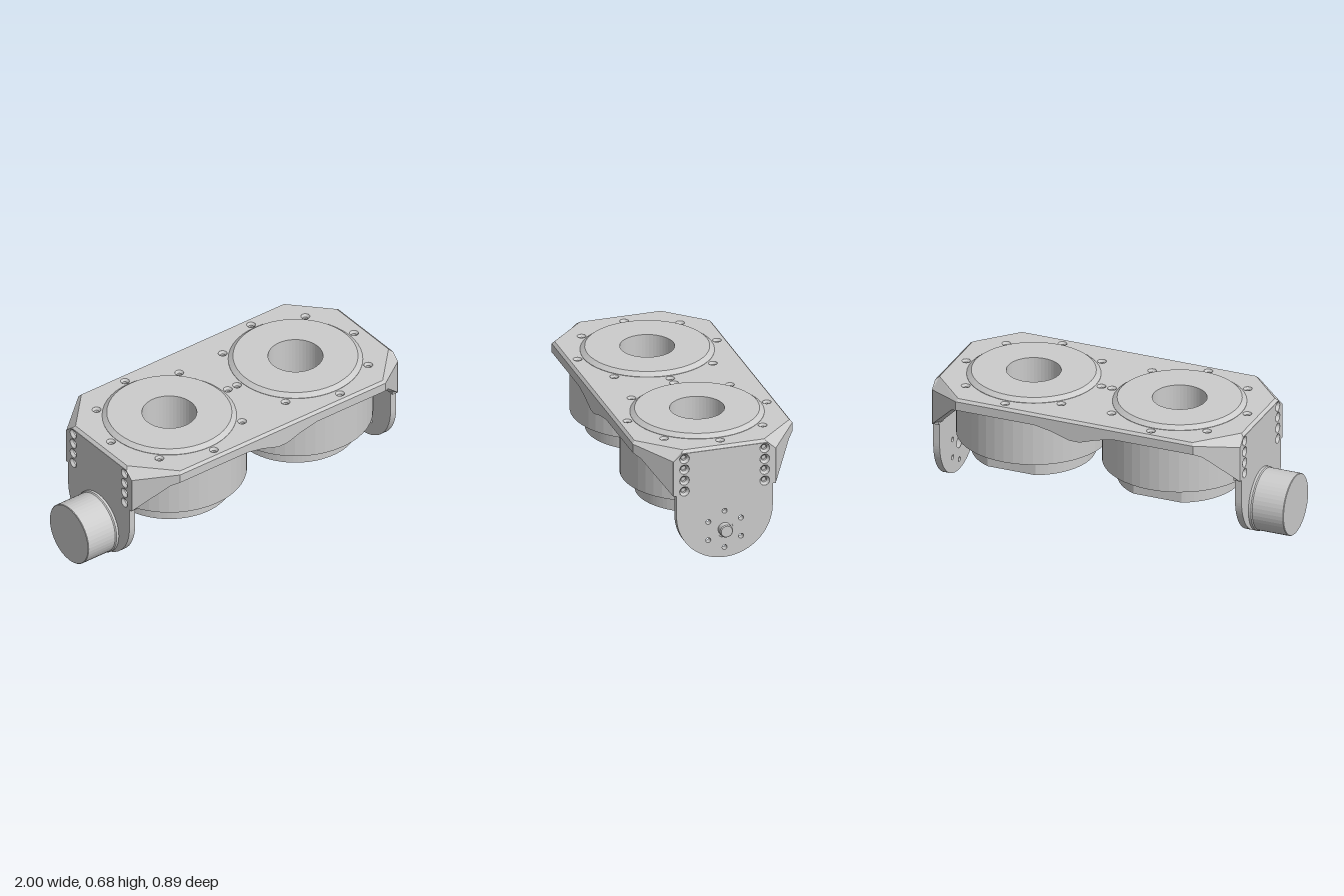
import * as THREE from 'three';

const steel = new THREE.MeshStandardMaterial({ color: 0xcccccc, flatShading: true, side: THREE.DoubleSide });
const MID = 0.08;              // x centre of the bracket
const MOTORS = [-0.335, 0.5];  // x of the two large motors
const AXIS_Y = 0.174;          // height of the tilt axis

function add(parent, name, geometry, x = 0, y = 0, z = 0) {
  const mesh = new THREE.Mesh(geometry, steel);
  mesh.name = name;
  mesh.position.set(x, y, z);
  parent.add(mesh);
  return mesh;
}

const lathe = (points, segments = 48) =>
  new THREE.LatheGeometry(points.map(([r, y]) => new THREE.Vector2(r, y)), segments);

const circlePath = (x, y, r) => new THREE.Path().absarc(x, y, r, 0, Math.PI * 2, false);

const extrude = (shape, depth, curveSegments = 24) =>
  new THREE.ExtrudeGeometry(shape, { depth, bevelEnabled: false, curveSegments });

// Points on a bolt circle
const boltCircle = (count, r, start = 0) => Array.from({ length: count }, (_, i) => {
  const a = start + (i / count) * Math.PI * 2;
  return [Math.cos(a) * r, Math.sin(a) * r];
});

// Skin joining neighbouring cross-sections, flat faceted
function loft(sections, closed) {
  const pos = [];
  const count = closed ? sections.length : sections.length - 1;
  for (let i = 0; i < count; i++) {
    const a = sections[i], b = sections[(i + 1) % sections.length];
    for (let j = 0; j < a.length - 1; j++) {
      pos.push(...a[j], ...a[j + 1], ...b[j], ...b[j], ...a[j + 1], ...b[j + 1]);
    }
  }
  const geometry = new THREE.BufferGeometry();
  geometry.setAttribute('position', new THREE.Float32BufferAttribute(pos, 3));
  geometry.computeVertexNormals();
  return geometry;
}

// Countersunk screw recess, opening along +y
const screw = (r, depth) =>
  lathe([[r, 0], [r * 0.55, -depth * 0.5], [r * 0.55, -depth], [0, -depth]], 16);

function createMotor(x) {
  const motor = new THREE.Group();
  motor.name = 'motor';
  motor.position.x = x;

  // Body with raised bevelled cap and central bore
  add(motor, 'motorBody', lathe([
    [0, 0.24], [0.145, 0.24], [0.145, 0.677], [0.33, 0.677], [0.355, 0.657],
    [0.355, 0.6], [0.41, 0.6], [0.41, 0.34], [0, 0.34],
  ].slice(0, 7).concat([[0.41, 0.34], [0.3, 0.34]])));

  // Lower flange with small bolt holes
  const ring = new THREE.Shape().absarc(0, 0, 0.41, 0, Math.PI * 2, false);
  ring.holes.push(circlePath(0, 0, 0.31));
  for (const [u, v] of boltCircle(8, 0.37)) ring.holes.push(circlePath(u, v, 0.012));
  add(motor, 'motorFlange', extrude(ring, 0.02).rotateX(Math.PI / 2), 0, 0.34, 0);

  // Narrower base with a flat at the back
  const cut = Math.asin(0.3 / 0.33);
  const base = new THREE.Shape().absarc(0, 0, 0.33, -cut, Math.PI + cut, false);
  add(motor, 'motorBase', extrude(base, 0.105, 40).rotateX(Math.PI / 2), 0, 0.325, 0);
  return motor;
}

function createTopPlate() {
  const group = new THREE.Group();
  group.name = 'topPlate';

  // Quarter of the outline: [top point, bevel foot], mirrored all round
  const quarter = [
    [[0.865, 0.655, 0.225], [0.88, 0.64, 0.24]],
    [[0.865, 0.655, 0.225], [0.88, 0.6, 0.285]],
    [[0.67, 0.655, 0.43], [0.68, 0.64, 0.443]],
  ];
  const mirror = (sx, sz) => quarter.map(s => s.map(([x, y, z]) => [MID + x * sx, y, z * sz]));
  const rim = [
    ...mirror(1, 1), ...mirror(-1, 1).reverse(), ...mirror(-1, -1), ...mirror(1, -1).reverse(),
  ];
  add(group, 'plateBevel', loft(rim, true));

  const plate = new THREE.Shape(rim.filter((_, i) => i % 3 !== 1)
    .map(([top]) => new THREE.Vector2(top[0], top[2])));
  for (const x of MOTORS) {
    plate.holes.push(circlePath(x, 0, 0.354));
    for (const [u, v] of boltCircle(8, 0.387)) {
      plate.holes.push(circlePath(x + u, v, 0.024));
      add(group, 'plateScrew', screw(0.024, 0.025), x + u, 0.655, v);
    }
  }
  add(group, 'plate', extrude(plate, 0.03).rotateX(Math.PI / 2), 0, 0.655, 0);
  return group;
}

// Side skirt: hangs low at the ends and dips between the motors
function createSkirt(side) {
  const half = [ // distance from centre, z, top, bottom
    [0.88, 0.285, 0.6, 0.4], [0.72, 0.411, 0.632, 0.568], [0.68, 0.443, 0.64, 0.59],
    [0.23, 0.443, 0.64, 0.59], [0.13, 0.443, 0.64, 0.57], [0.03, 0.443, 0.64, 0.537],
  ];
  const section = sx => ([d, z, top, bottom]) => {
    const x = MID + sx * d, xi = MID + sx * d * 0.965;
    return [[x, top, z * side], [x, bottom, z * side],
      [xi, bottom, (z - 0.028) * side], [xi, 0.63, (z - 0.028) * side]];
  };
  return loft([...half.map(section(-1)), ...half.map(section(1)).reverse()], false);
}

// End bracket with rounded tongue; sx = +1 is the model's left end
function createEndBracket(sx) {
  const group = new THREE.Group();
  group.name = sx > 0 ? 'leftBracket' : 'rightBracket';
  const thickness = 0.037;
  const outer = sx > 0 ? 0.963 : -0.802;
  const shape = new THREE.Shape();
  shape.moveTo(0.24, 0.64).lineTo(0.285, 0.6).lineTo(0.285, 0.4).lineTo(0.267, 0.4);
  shape.absarc(0, 0.28, 0.267, 0, -Math.PI, true);
  shape.lineTo(-0.267, 0.4).lineTo(-0.285, 0.4).lineTo(-0.285, 0.6).lineTo(-0.24, 0.64);

  // Rows of countersunk screws
  for (const z of [-0.223, 0.223]) {
    for (const y of [0.61, 0.548, 0.485, 0.422]) {
      shape.holes.push(circlePath(z, y, 0.027));
      add(group, 'bracketScrew', screw(0.027, 0.03).rotateZ(-sx * Math.PI / 2), outer, y, z);
    }
  }
  // Hub holes
  shape.holes.push(circlePath(0, AXIS_Y, 0.047));
  for (const [u, v] of boltCircle(6, 0.105, Math.PI / 2)) {
    shape.holes.push(circlePath(u, AXIS_Y + v, 0.014));
  }
  add(group, 'bracketPlate', extrude(shape, thickness).rotateY(-Math.PI / 2),
    sx > 0 ? outer : outer + thickness);
  return group;
}

export function createModel() {
  const model = new THREE.Group();
  model.name = 'twinMotorBracket';
  model.add(createTopPlate());
  for (const x of MOTORS) model.add(createMotor(x));
  for (const side of [1, -1]) {
    add(model, side > 0 ? 'frontSkirt' : 'backSkirt', createSkirt(side));
    model.add(createEndBracket(side));
  }

  // Pivot pin on the left end
  const pin = [[0.035, -0.037], [0.047, -0.037], [0.047, -0.004], [0.036, -0.004],
    [0.036, 0.031], [0.031, 0.037], [0, 0.037]];
  add(model, 'pivotPin', lathe(pin, 32).rotateZ(-Math.PI / 2), 0.963, AXIS_Y, 0);

  // Tilt actuator on the right end, with collar and inner hub ring
  const actuator = [[0, 0], [0.174, 0], [0.174, 0.014], [0.169, 0.02], [0.169, 0.195], [0.166, 0.198], [0, 0.198]];
  add(model, 'tiltActuator', lathe(actuator).rotateZ(Math.PI / 2), -0.802, AXIS_Y, 0);
  const hub = [[0.033, 0], [0.047, 0], [0.047, 0.03], [0.033, 0.03], [0.033, 0]];
  add(model, 'hubRing', lathe(hub, 32).rotateZ(Math.PI / 2), -0.77, AXIS_Y, 0);
  return model;
}
